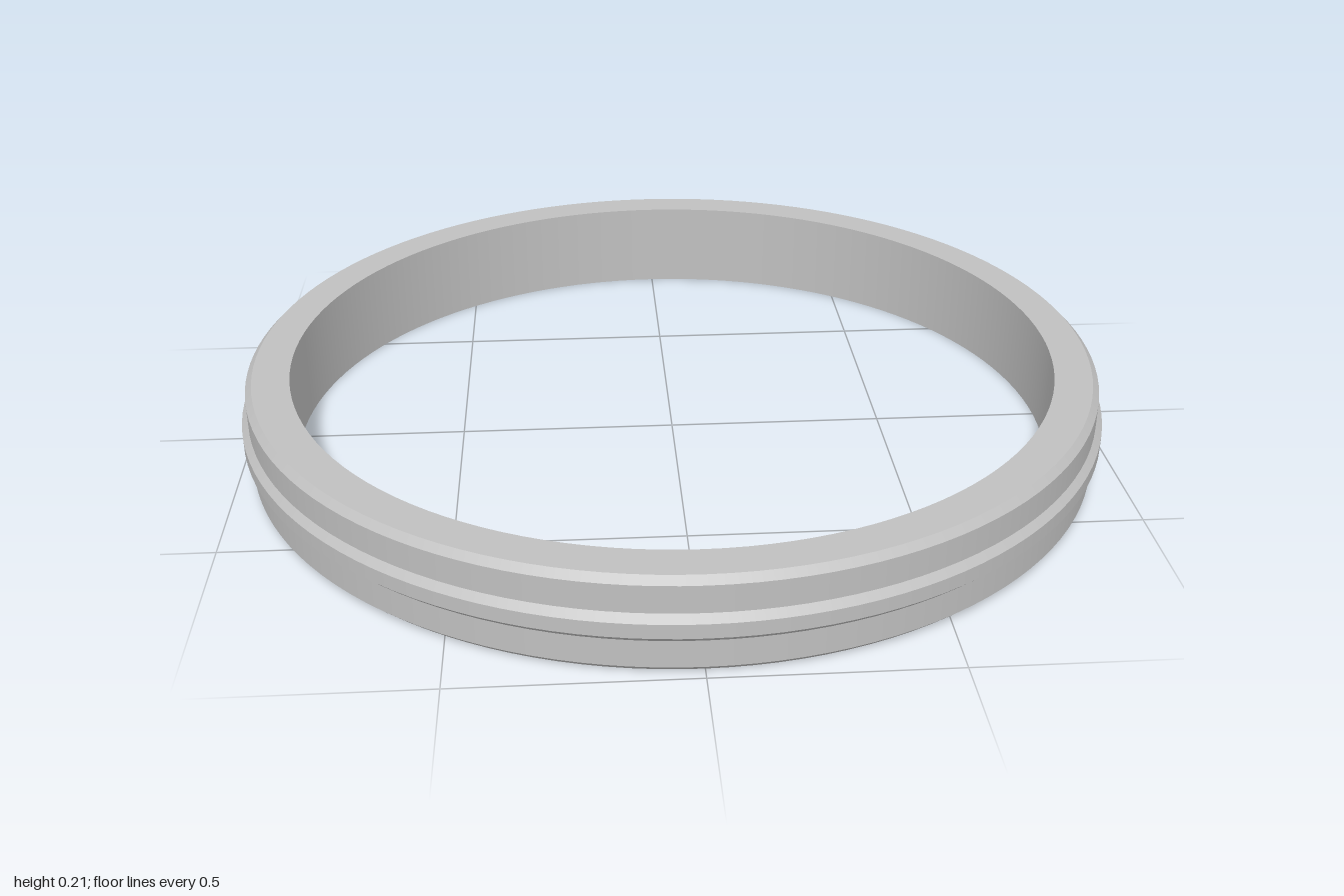
import * as THREE from 'three';
import { mergeGeometries } from 'three/addons/utils/BufferGeometryUtils.js';

// Revolve a profile of [radius, y] points, one strip per edge so corners stay crisp
function creasedLathe(points) {
  const strips = [];
  for (let i = 0; i < points.length - 1; i++) {
    const edge = [points[i], points[i + 1]].map(([r, y]) => new THREE.Vector2(r, y));
    strips.push(new THREE.LatheGeometry(edge, 128));
  }
  return mergeGeometries(strips);
}

export function createModel() {
  const group = new THREE.Group();
  group.name = 'ring';
  const metal = new THREE.MeshStandardMaterial({ color: 0xc0c0c0 });
  metal.name = 'grey metal';

  const height = 0.214, inner = 0.885, outer = 0.985, bevel = 0.015;
  const mid = height / 2;

  // Band: bevelled outside, flat rims, straight bore
  const band = new THREE.Mesh(creasedLathe([
    [inner, 0], [outer - bevel, 0], [outer, bevel],
    [outer, height - bevel], [outer - bevel, height],
    [inner, height], [inner, 0],
  ]), metal);
  band.name = 'band';

  // Raised ridge around the middle of the band
  const ridge = new THREE.Mesh(creasedLathe([
    [outer, mid - 0.031], [1, mid - 0.016], [1, mid + 0.016], [outer, mid + 0.031],
  ]), metal);
  ridge.name = 'centreRidge';

  group.add(band, ridge);
  return group;
}
